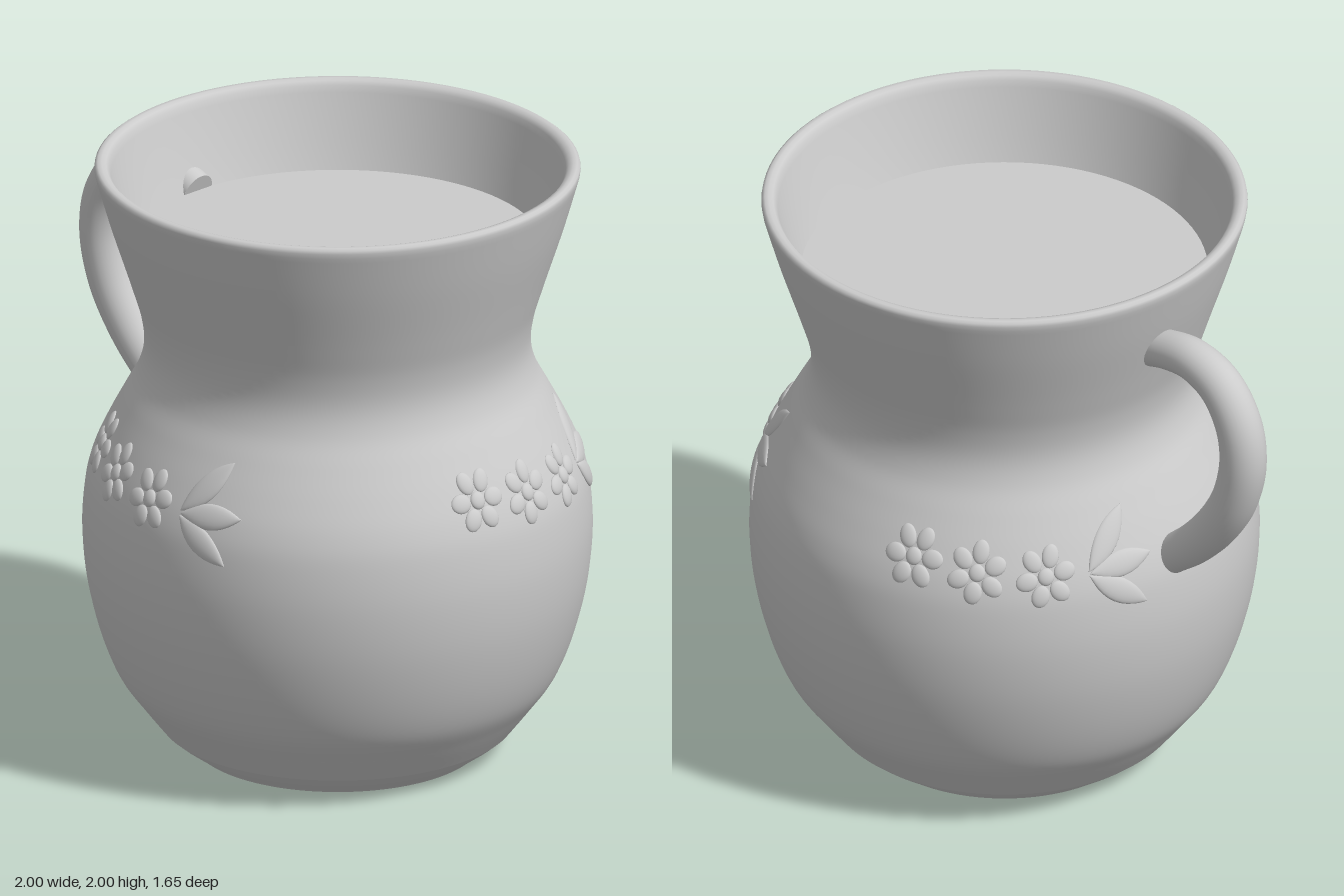
import * as THREE from 'three';
import { mergeGeometries } from 'three/addons/utils/BufferGeometryUtils.js';

const AXIS_X = 0.17; // the pot's axis, offset to leave room for the handle
const material = new THREE.MeshStandardMaterial({ color: 0xcccccc, roughness: 0.7 });
const doubleSided = new THREE.MeshStandardMaterial({ color: 0xcccccc, roughness: 0.7, side: THREE.DoubleSide });

const V2 = (list) => list.map(([r, y]) => new THREE.Vector2(r, y));

// Outer wall from the shoulder of the foot up to the rim (radius, height)
const wall = new THREE.SplineCurve(V2([
  [0.575, 0.08], [0.645, 0.17], [0.715, 0.27], [0.77, 0.41], [0.81, 0.58], [0.825, 0.75],
  [0.815, 0.9], [0.79, 1.0], [0.745, 1.1], [0.692, 1.2], [0.645, 1.29], [0.625, 1.38],
  [0.635, 1.48], [0.67, 1.6], [0.735, 1.8], [0.783, 1.965],
])).getPoints(90);

// Radius of the outer wall at a given height
function radiusAt(y) {
  const i = Math.max(1, wall.findIndex((p) => p.y >= y));
  const a = wall[i - 1], b = wall[i];
  return a.x + (b.x - a.x) * (y - a.y) / (b.y - a.y);
}

function mesh(name, geometry, mat = material) {
  const m = new THREE.Mesh(geometry, mat);
  m.name = name;
  return m;
}

// Wraps flat relief (x along, y up, z out) round the wall, centred at an angle and height
function wrap(geometry, angle, height) {
  const pos = geometry.attributes.position;
  const r0 = radiusAt(height);
  for (let i = 0; i < pos.count; i++) {
    const a = angle + pos.getX(i) / r0;
    const y = height + pos.getY(i);
    const slope = (radiusAt(y + 0.02) - radiusAt(y - 0.02)) / 0.04;
    const out = pos.getZ(i) / Math.hypot(1, slope);
    const r = radiusAt(y) + out;
    pos.setXYZ(i, r * Math.sin(a), y - slope * out, r * Math.cos(a));
  }
  geometry.computeVertexNormals();
  return geometry;
}

// Flattened bead, its long axis along x
function bead(length, width, thickness) {
  return new THREE.SphereGeometry(1, 20, 14).rotateZ(-Math.PI / 2).scale(length, width, thickness);
}

// Ring of six petals round a small centre
function flower(angle, height, phase) {
  const parts = [bead(0.027, 0.027, 0.013)];
  for (let i = 0; i < 6; i++) {
    parts.push(bead(0.036, 0.029, 0.012).translate(0.064, 0, 0).rotateZ(phase + i * Math.PI / 3));
  }
  return mesh('flower', wrap(mergeGeometries(parts), angle, height));
}

// Three pointed leaves fanning out from one stem point
function leaves(angle, height) {
  const parts = [[0.24, 0.8], [0.23, 0.08], [0.23, -0.6]].map(([length, turn]) => {
    const leaf = bead(1, 1, 1);
    const pos = leaf.attributes.position;
    for (let i = 0; i < pos.count; i++) {
      const t = pos.getX(i);
      const taper = Math.sqrt(Math.max(0, 1 - t * t)); // draws both ends to a point
      pos.setXYZ(i, t * length / 2, pos.getY(i) * taper * 0.04, pos.getZ(i) * 0.012);
    }
    return leaf.translate(length / 2 + 0.01, 0, 0).rotateZ(turn);
  });
  return mesh('leaves', wrap(mergeGeometries(parts), angle, height));
}

// Tube along a curve, slimmer at both ends, with closed ends
function taperedTube(curve, segments, sides, radius) {
  const geometry = new THREE.TubeGeometry(curve, segments, radius, sides, false);
  const pos = geometry.attributes.position;
  const p = new THREE.Vector3(), c = new THREE.Vector3();
  for (let i = 0; i < pos.count; i++) {
    const t = Math.floor(i / (sides + 1)) / segments;
    curve.getPointAt(t, c);
    p.fromBufferAttribute(pos, i).sub(c).multiplyScalar(0.8 + 0.2 * Math.sin(Math.PI * t)).add(c);
    pos.setXYZ(i, p.x, p.y, p.z);
  }
  geometry.computeVertexNormals();
  const caps = [0, 1].map((t) => {
    const dir = curve.getTangentAt(t).multiplyScalar(t ? 1 : -1);
    const turn = new THREE.Quaternion().setFromUnitVectors(new THREE.Vector3(0, 0, 1), dir);
    const at = curve.getPointAt(t);
    return new THREE.CircleGeometry(radius * 0.8, sides).applyQuaternion(turn).translate(at.x, at.y, at.z);
  });
  return mergeGeometries([geometry, ...caps]);
}

export function createModel() {
  const group = new THREE.Group();
  group.name = 'jug';
  const pot = new THREE.Group();
  pot.name = 'pot';
  pot.position.x = AXIS_X;
  group.add(pot);

  // Foot and base
  const foot = V2([[0.47, 0], [0.485, 0.012], [0.545, 0.055], [0.575, 0.08]]);
  pot.add(mesh('foot', new THREE.LatheGeometry(foot, 96)));
  pot.add(mesh('base', new THREE.CircleGeometry(0.47, 96).rotateX(Math.PI / 2)));

  // Outer wall, rounded rim and the inside down to the fill level
  const rim = V2([
    [0.786, 1.982], [0.784, 1.993], [0.775, 2], [0.762, 2], [0.748, 1.995], [0.738, 1.982], [0.732, 1.96],
    [0.715, 1.9], [0.685, 1.8], [0.658, 1.72], [0.64, 1.67],
  ]);
  pot.add(mesh('body', new THREE.LatheGeometry([...wall, ...rim], 96), doubleSided));

  // Drink filling the jug
  pot.add(mesh('liquid', new THREE.CircleGeometry(0.658, 96).rotateX(-Math.PI / 2).translate(0, 1.72, 0)));

  // Three garlands of relief flowers, a third of a turn apart
  const deg = Math.PI / 180;
  for (let k = 0; k < 3; k++) {
    const garland = new THREE.Group();
    garland.name = 'garland';
    garland.add(
      flower(-38 * deg, 1.065, 0),
      flower(-22 * deg, 1.04, 0.35),
      flower(-5.5 * deg, 1.025, 0.2),
      leaves(4.5 * deg, 1.015),
    );
    garland.rotation.y = k * 120 * deg;
    pot.add(garland);
  }

  // Handle
  const path = new THREE.CatmullRomCurve3([
    [-0.485, 1.715], [-0.58, 1.745], [-0.7, 1.757], [-0.82, 1.712], [-0.9, 1.605], [-0.923, 1.47],
    [-0.885, 1.31], [-0.8, 1.17], [-0.7, 1.06], [-0.61, 0.985], [-0.55, 0.935],
  ].map(([x, y]) => new THREE.Vector3(x, y, -0.01)));
  group.add(mesh('handle', taperedTube(path, 80, 28, 0.077)));

  return group;
}
